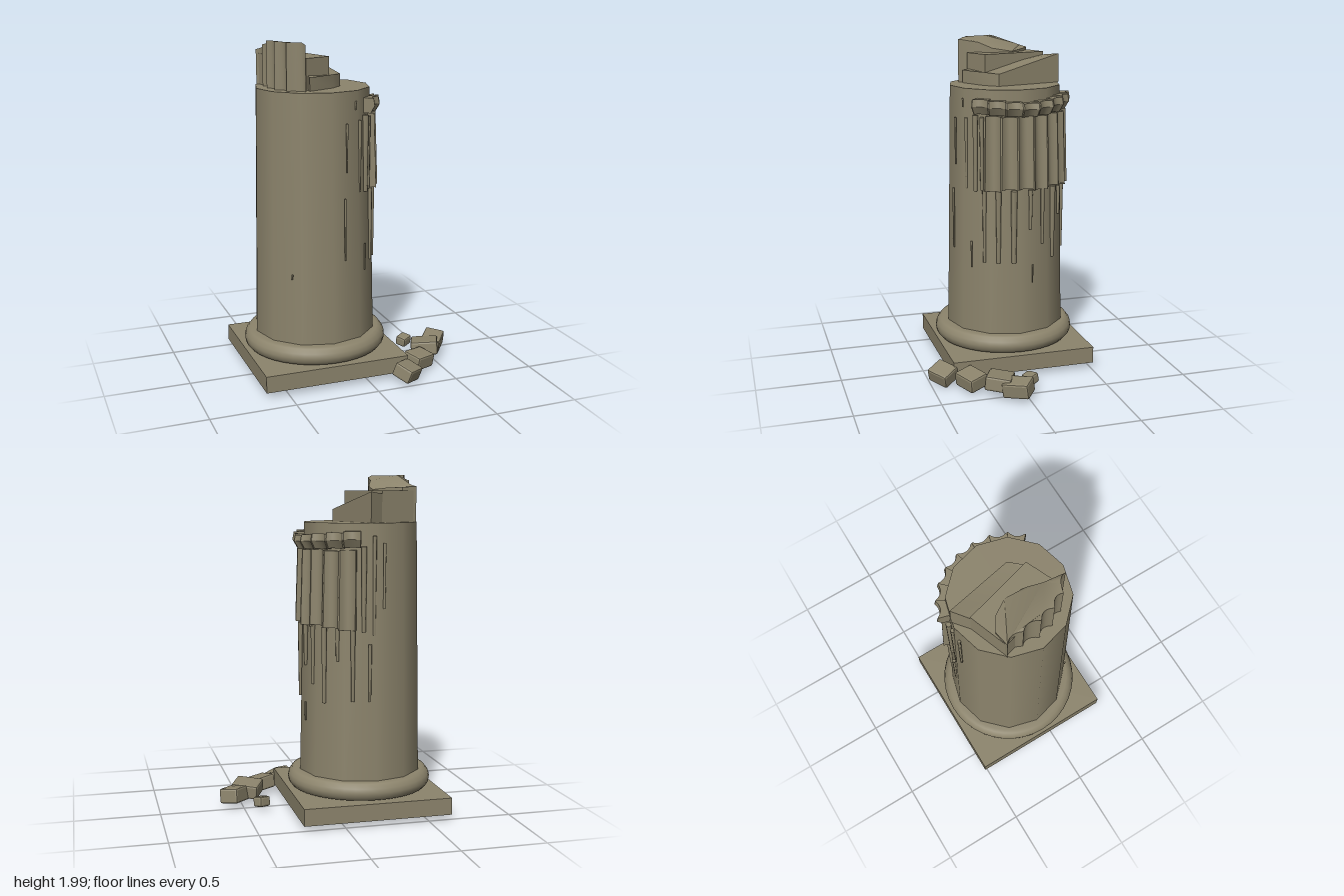
import * as THREE from 'three';
import { toCreasedNormals } from 'three/addons/utils/BufferGeometryUtils.js';
import { RoundedBoxGeometry } from 'three/addons/geometries/RoundedBoxGeometry.js';

const CX = -0.197, CZ = -0.075; // column axis
const rad = THREE.MathUtils.degToRad;

export function createModel() {
  const model = new THREE.Group();
  const stone = new THREE.MeshStandardMaterial({ color: 0x8c846c });
  stone.name = 'weathered stone';

  const add = (name, geo, x = 0, y = 0, z = 0, parent = model) => {
    const mesh = new THREE.Mesh(geo, stone);
    mesh.name = name;
    mesh.position.set(x, y, z);
    parent.add(mesh);
    return mesh;
  };

  // Upright prism on a plan outline; each vertex may then be moved by a rule
  const prism = (shape, y0, y1, rule) => {
    const geo = new THREE.ExtrudeGeometry(shape, { depth: y1 - y0, bevelEnabled: false, curveSegments: 6 });
    geo.rotateX(-Math.PI / 2).translate(0, y0, 0);
    const p = geo.attributes.position, v = new THREE.Vector3();
    for (let i = 0; i < p.count; i++) {
      v.fromBufferAttribute(p, i);
      rule(v, v.y > (y0 + y1) / 2);
      p.setXYZ(i, v.x, v.y, v.z);
    }
    return toCreasedNormals(geo, 0.6);
  };
  const plan = (pts) => new THREE.Shape(pts.map(([x, z]) => new THREE.Vector2(x, -z)));

  // Plinth, moulded base and tapered shaft
  add('plinth', new THREE.BoxGeometry(0.88, 0.1, 0.88), -0.195, 0.095, -0.075);
  const ring = [[0.3, 0.14], [0.38, 0.15], [0.41, 0.155], [0.426, 0.175], [0.43, 0.2],
    [0.424, 0.225], [0.405, 0.25], [0.385, 0.256], [0.34, 0.256]];
  add('baseMoulding', new THREE.LatheGeometry(ring.map(([r, y]) => new THREE.Vector2(r, y)), 40), CX, 0, -0.068);
  add('shaft', new THREE.CylinderGeometry(0.338, 0.366, 1.48, 12), CX, 0.99, CZ);

  // One concave flute between two ridges, measured from +x towards the back
  const flute = (name, deg, y0, y1, ridge, valley, topScale, parent) => {
    const a = rad(deg), b = rad(deg + 15), m = (a + b) / 2, d = 0.012;
    const at = (r, t) => [r * Math.cos(t), r * Math.sin(t)];
    const s = new THREE.Shape();
    s.moveTo(...at(0.3, a));
    s.lineTo(...at(ridge, a));
    s.lineTo(...at(ridge, a + d));
    s.quadraticCurveTo(...at(2 * valley - ridge, m), ...at(ridge, b - d));
    s.lineTo(...at(ridge, b));
    s.lineTo(...at(0.3, b));
    const geo = prism(s, y0, y1, (v, top) => { if (top) { v.x *= topScale; v.z *= topScale; } });
    add(name, geo, CX, 0, CZ, parent);
  };

  // Surviving patch of fluting with its flared upper edge
  const fluting = new THREE.Group();
  fluting.name = 'fluting';
  model.add(fluting);
  const lower = [1.14, 1.15, 1.15, 1.14, 1.15, 1.14, 1.13];
  lower.forEach((y, i) => flute('flute', -34 + i * 15, y, 1.58 - (i % 2) * 0.005, 0.385, 0.357, 0.965, fluting));
  for (let i = 0; i < 8; i++) {
    const lift = 0.02 * Math.abs(i - 3) / 4;
    flute('flutingRim', -45 + i * 15, 1.575 + lift, 1.62 + lift, 0.372, 0.352, 1.07, fluting);
    flute('flutingRimTop', -45 + i * 15, 1.62 + lift, 1.655 + lift * 1.5, 0.398, 0.377, 0.98, fluting);
  }

  // Narrow ridges left on the shaft: angle, bottom, top, half width
  const ridges = [
    [-57, 1.14, 1.56, 0.01], [-46, 1.13, 1.58, 0.018], [-39, 1.14, 1.57, 0.014],
    [-36, 0.7, 1.14, 0.013], [-22, 0.7, 1.14, 0.017], [-7, 0.7, 1.14, 0.02], [10, 0.9, 1.14, 0.014],
    [24, 0.8, 1.14, 0.013], [39, 0.7, 1.14, 0.017], [53, 0.95, 1.14, 0.013], [68, 0.72, 1.14, 0.014],
    [78, 1.12, 1.6, 0.016], [88, 1.1, 1.66, 0.012], [98, 1.25, 1.62, 0.01], [84, 0.72, 1.05, 0.01],
    [12, 0.57, 0.68, 0.006], [-77, 0.75, 1.12, 0.007], [-74, 1.27, 1.55, 0.007],
    [-62, 1.62, 1.67, 0.007], [-50, 0.66, 0.82, 0.006], [-129, 0.65, 0.68, 0.006],
  ];
  for (const [deg, y0, y1, w] of ridges) {
    const y = (y0 + y1) / 2, t = rad(deg), r = 0.352 - (y - 0.9) * 0.018;
    const mesh = add('shaftRidge', new THREE.CylinderGeometry(w, w * 0.7, y1 - y0, 6),
      CX + r * Math.cos(t), y, CZ - r * Math.sin(t));
    mesh.rotation.y = t;
  }

  // Broken drum on top: sloping ledge, step block and fluted back
  const ledge = plan([[-0.29, 0.16], [-0.12, 0.075], [-0.05, 0], [-0.165, -0.41], [-0.25, -0.34]]);
  add('brokenLedge', prism(ledge, 1.73, 1.9, (v, top) => {
    if (top) v.y = 1.82 + 0.17 * (0.08 - v.z) - Math.max(0, v.x + 0.29 * v.z + 0.13) * 0.4;
  }));
  const step = plan([[-0.47, -0.26], [-0.25, -0.34], [-0.14, 0.06], [-0.3, 0.13], [-0.38, 0.08]]);
  add('brokenStep', prism(step, 1.73, 1.91, () => {}));

  const edge = [[-0.48, -0.26], [-0.47, -0.16], [-0.475, -0.06], [-0.455, 0.03], [-0.41, 0.11], [-0.32, 0.18]];
  const scallop = new THREE.Shape();
  scallop.moveTo(edge[0][0], -edge[0][1]);
  for (let i = 1; i < edge.length; i++) {
    const [x, z] = edge[i], [px, pz] = edge[i - 1];
    scallop.quadraticCurveTo((x + px) / 2 + 0.045, -((z + pz) / 2 - 0.015), x, -z);
  }
  for (const [x, z] of [[-0.3, 0.06], [-0.265, -0.02], [-0.255, -0.14], [-0.31, -0.225], [-0.39, -0.275]])
    scallop.lineTo(x, -z);
  add('brokenFlutedPiece', prism(scallop, 1.73, 2, (v, top) => {
    if (top) v.y = 2 - Math.max(0, v.x + 0.33) - 0.35 * Math.max(0, -0.07 - v.z);
    if (top) v.y = Math.max(v.y, 1.915);
  }));

  // Fallen rubble: centre, size, tilt
  const rubble = [
    [[0.402, 0.065, -0.057], [0.08, 0.06, 0.07], [0.15, 0.6, 0.1]],
    [[0.548, 0.085, 0.062], [0.12, 0.09, 0.16], [0.1, -0.65, -0.12]],
    [[0.455, 0.095, 0.145], [0.165, 0.085, 0.15], [-0.1, -0.45, 0.08]],
    [[0.35, 0.08, 0.288], [0.15, 0.085, 0.125], [0.15, 0.45, -0.08]],
    [[0.215, 0.075, 0.425], [0.14, 0.085, 0.12], [0.32, 0.6, -0.15]],
  ];
  for (const [c, s, r] of rubble) {
    const geo = toCreasedNormals(new RoundedBoxGeometry(...s, 1, 0.012), 0.3);
    add('rubble', geo, ...c).rotation.set(...r, 'YXZ');
  }
  return model;
}
